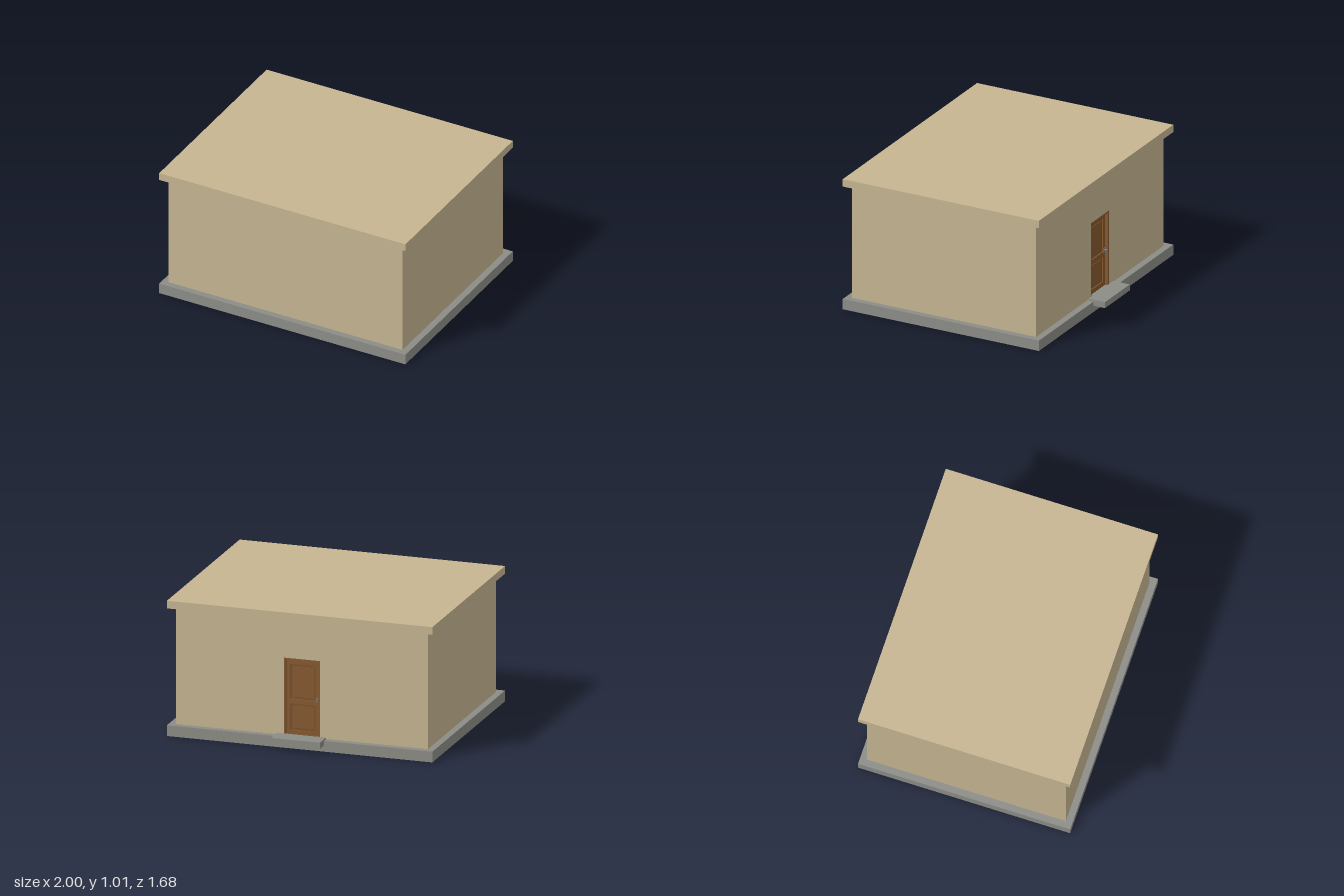
import * as THREE from 'three';

const mat = (name, color) => {
  const m = new THREE.MeshStandardMaterial({ color });
  m.name = name;
  return m;
};

export function createModel() {
  const model = new THREE.Group();
  model.name = 'house';
  const plaster = mat('sand plaster', 0xc6b591);
  const concrete = mat('grey concrete', 0x8c8c87);
  const wood = mat('brown wood', 0x85592f);
  const panelWood = mat('dark brown wood', 0x7a502c);
  const metal = mat('grey metal', 0x77777a);

  const add = (name, geometry, material) => {
    const mesh = new THREE.Mesh(geometry, material);
    mesh.name = name;
    model.add(mesh);
    return mesh;
  };
  // Box given by its extents on each axis
  const box = (name, material, [x0, x1], [y0, y1], [z0, z1]) => {
    const mesh = add(name, new THREE.BoxGeometry(x1 - x0, y1 - y0, z1 - z0), material);
    mesh.position.set((x0 + x1) / 2, (y0 + y1) / 2, (z0 + z1) / 2);
    return mesh;
  };
  const trace = (path, points) => {
    points.forEach(([x, y], i) => (i ? path.lineTo(x, y) : path.moveTo(x, y)));
    path.closePath();
    return path;
  };
  const rect = (x, y0, y1) => [[-x, y0], [x, y0], [x, y1], [-x, y1]];
  // Upright slab with cut-outs, from z0 to z1
  const slab = (name, material, outline, holes, z0, z1) => {
    const shape = trace(new THREE.Shape(), outline);
    shape.holes = holes.map((h) => trace(new THREE.Path(), h));
    const mesh = add(name, new THREE.ExtrudeGeometry(shape, { depth: z1 - z0, bevelEnabled: false }), material);
    mesh.position.z = z0;
    return mesh;
  };

  const back = -0.70;
  const floor = 0.08, eaves = 0.95, doorTop = 0.655, doorHalf = 0.135;

  // Foundation, walls and flat roof
  box('foundation', concrete, [-1, 1], [0, floor], [-0.75, 0.842]);
  box('walls', plaster, [-0.95, 0.95], [floor, eaves], [back + 0.06, 0.793]);
  box('roof', plaster, [-1, 1], [eaves, 1.007], [-0.75, 0.842]);

  // Back wall with a notch for the doorway
  slab('backWall', plaster, [
    [-0.95, floor], [-doorHalf, floor], [-doorHalf, doorTop], [doorHalf, doorTop],
    [doorHalf, floor], [0.95, floor], [0.95, eaves], [-0.95, eaves],
  ], [], back, back + 0.06);

  // Door frame lining the opening
  const inner = doorHalf - 0.012;
  slab('doorFrame', wood, [
    [-doorHalf, floor], [-inner, floor], [-inner, doorTop - 0.012], [inner, doorTop - 0.012],
    [inner, floor], [doorHalf, floor], [doorHalf, doorTop], [-doorHalf, doorTop],
  ], [], back, back + 0.06);

  // Door leaf: stiles and rails around two sunken panels with raised fields
  const face = back + 0.025;
  const panels = [[0.115, 0.31], [0.345, 0.605]];
  slab('doorLeaf', wood, rect(inner, floor, doorTop - 0.012),
    panels.map(([y0, y1]) => rect(0.095, y0, y1)), face, face + 0.02);
  panels.forEach(([y0, y1]) => {
    box('doorPanel', panelWood, [-0.095, 0.095], [y0, y1], [face + 0.01, face + 0.02]);
    box('panelField', wood, [-0.08, 0.08], [y0 + 0.015, y1 - 0.015], [face + 0.005, face + 0.012]);
  });

  // Handle
  box('handlePlate', metal, [-0.117, -0.101], [0.335, 0.375], [face - 0.004, face]);
  const knob = add('doorKnob', new THREE.CylinderGeometry(0.007, 0.007, 0.026, 12), metal);
  knob.rotation.x = Math.PI / 2;
  knob.position.set(-0.109, 0.357, face - 0.014);

  // Doorstep
  box('doorstep', concrete, [-0.185, 0.185], [0.047, 0.093], [-0.842, -0.707]);

  return model;
}
